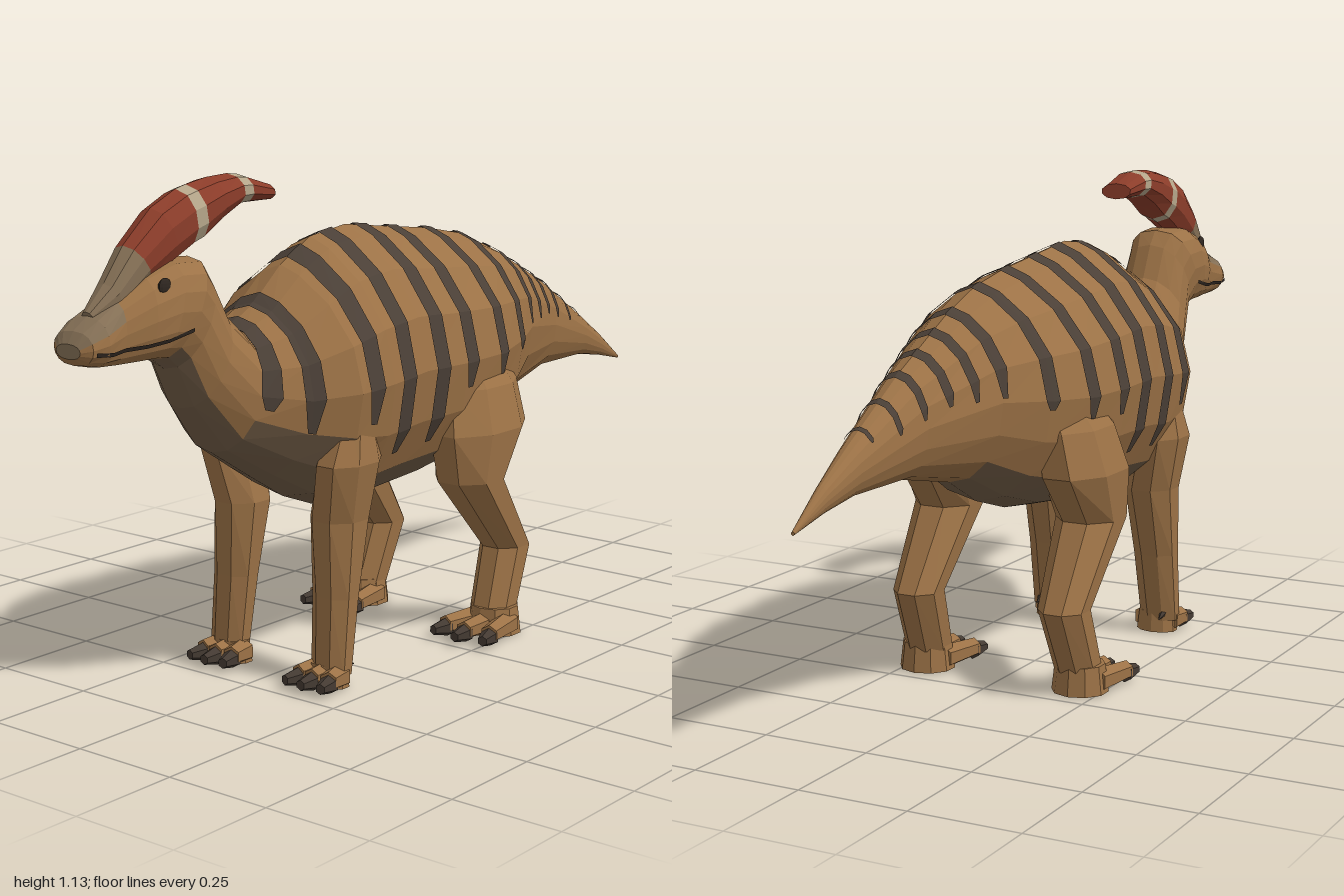
import * as THREE from 'three';

const N = 16; // sides of the body cross-section

const mat = (name, color, side = THREE.FrontSide) => {
  const m = new THREE.MeshStandardMaterial({ color, flatShading: true, side });
  m.name = name;
  return m;
};

// Skins rows of points; pick(i, j) chooses the material slot of each quad
function skin(rows, closed, pick = () => 0) {
  const buckets = [];
  const tri = (slot, ...pts) => (buckets[slot] ??= []).push(...pts.flatMap((p) => [p.x, p.y, p.z]));
  const n = rows[0].length;
  for (let i = 0; i < rows.length - 1; i++) {
    for (let j = 0; j < (closed ? n : n - 1); j++) {
      const k = (j + 1) % n, s = pick(i, j);
      tri(s, rows[i][j], rows[i + 1][j], rows[i + 1][k]);
      tri(s, rows[i][j], rows[i + 1][k], rows[i][k]);
    }
  }
  if (closed) {
    const cap = (row, slot, flip) => {
      const c = row.reduce((a, p) => a.add(p), new THREE.Vector3()).divideScalar(n);
      row.forEach((p, j) => {
        const q = row[(j + 1) % n];
        flip ? tri(slot, c, q, p) : tri(slot, c, p, q);
      });
    };
    cap(rows[0], pick(0, 0), false);
    cap(rows[rows.length - 1], pick(rows.length - 2, 0), true);
  }
  const geo = new THREE.BufferGeometry();
  geo.setAttribute('position', new THREE.Float32BufferAttribute(buckets.flat(), 3));
  let start = 0;
  buckets.forEach((b, slot) => {
    geo.addGroup(start, b.length / 3, slot);
    start += b.length / 3;
  });
  geo.computeVertexNormals();
  return geo;
}

// Cross-sections: top z, top y, bottom z, bottom y, half width,
// roundness (below 1 is boxy, above 1 pinches the upper half)
const BODY = [
  [-1, 0.52, -1, 0.512, 0.004, 1],
  [-0.9, 0.592, -0.9, 0.535, 0.018, 1],
  [-0.8, 0.655, -0.8, 0.55, 0.034, 1],
  [-0.6, 0.775, -0.6, 0.548, 0.07, 1.1],
  [-0.4, 0.875, -0.4, 0.505, 0.135, 1.3],
  [-0.28, 0.92, -0.28, 0.44, 0.19, 1.45],
  [-0.15, 0.945, -0.15, 0.4, 0.23, 1.55],
  [0, 0.963, 0, 0.38, 0.237, 1.55],
  [0.15, 0.982, 0.15, 0.37, 0.238, 1.55],
  [0.27, 0.967, 0.27, 0.362, 0.238, 1.55],
  [0.37, 0.915, 0.37, 0.4, 0.23, 1.5],
  [0.46, 0.84, 0.47, 0.46, 0.17, 1.25],
  [0.54, 0.8, 0.6, 0.54, 0.12, 1],
  [0.59, 0.85, 0.69, 0.65, 0.095, 1],
  [0.63, 0.93, 0.735, 0.74, 0.085, 0.9],
  [0.66, 0.965, 0.77, 0.765, 0.09, 0.75],
  [0.74, 0.97, 0.8, 0.77, 0.092, 0.65],
  [0.82, 0.945, 0.84, 0.77, 0.08, 0.65],
  [0.89, 0.905, 0.9, 0.77, 0.058, 0.7],
  [0.95, 0.875, 0.95, 0.775, 0.067, 0.7],
  [0.985, 0.852, 0.985, 0.783, 0.056, 0.75],
  [1, 0.828, 1, 0.798, 0.034, 0.8],
];

const CREST = [
  [0.43, 1.098, 0.425, 1.06, 0.04, 0.9],
  [0.508, 1.122, 0.497, 1.06, 0.047, 0.9],
  [0.538, 1.125, 0.526, 1.058, 0.049, 0.9],
  [0.6, 1.122, 0.585, 1.03, 0.053, 0.9],
  [0.662, 1.112, 0.64, 0.995, 0.054, 0.9],
  [0.692, 1.105, 0.67, 0.985, 0.053, 0.9],
  [0.765, 1.073, 0.72, 0.96, 0.05, 0.9],
  [0.845, 1.005, 0.79, 0.93, 0.043, 0.9],
  [0.9, 0.935, 0.87, 0.88, 0.034, 0.9],
  [0.95, 0.885, 0.94, 0.86, 0.016, 0.9],
];

// Point on a cross-section; s counts sides from the top, grow lifts it outward
function point(c, s, n = N, grow = 0) {
  const corner = (j) => {
    const t = (j / n) * Math.PI * 2, cos = Math.cos(t), sin = Math.sin(t);
    const h = 0.5 * cos, power = cos > 0 ? c[5] : Math.min(c[5], 1);
    const x = Math.sign(sin) * (Math.abs(sin) ** power * c[4] + grow * Math.abs(sin));
    return new THREE.Vector3(x, (c[1] + c[3]) / 2 + h * (c[1] - c[3]) + grow * cos, (c[0] + c[2]) / 2 + h * (c[0] - c[2]));
  };
  const f = Math.floor(s);
  return corner(f).lerp(corner(f + 1), s - f);
}
const ring = (c, n) => Array.from({ length: n }, (_, j) => point(c, j, n));

// Body cross-section at any z along the back
function sectionAt(z) {
  let i = 0;
  while (i < BODY.length - 2 && BODY[i + 1][0] < z) i++;
  const a = BODY[i], b = BODY[i + 1], t = (z - a[0]) / (b[0] - a[0]);
  return a.map((v, k) => v + (b[k] - v) * t);
}
function sideAtHeight(c, y) {
  let s = 0;
  while (s < N / 2 && point(c, s).y > y) s += 0.02;
  return s;
}
// Point on the flank at a given z and y
function flank(z, y, side, grow) {
  let zq = z, p;
  for (let k = 0; k < 8; k++) {
    const c = sectionAt(zq);
    p = point(c, sideAtHeight(c, y), N, grow);
    zq += z - p.z;
  }
  p.x *= side;
  return p;
}

export function createModel() {
  const model = new THREE.Group();
  model.name = 'crestedDinosaur';
  const hide = mat('hide brown', 0x9c7246);
  const belly = mat('belly brown', 0x715c46);
  const snout = mat('snout grey brown', 0x857056);
  const stripe = mat('stripe dark brown', 0x4b4037, THREE.DoubleSide);
  const red = mat('crest red', 0x8c3d2a);
  const cream = mat('band cream', 0xb5a68a);
  const claw = mat('claw dark', 0x443a32);
  const dark = mat('eye and mouth', 0x2e2620, THREE.DoubleSide);

  const add = (name, geo, material, parent = model) => {
    const m = new THREE.Mesh(geo, material);
    m.name = name;
    parent.add(m);
    return m;
  };

  // Tail, trunk, neck and head in one skin
  const bodyPick = (i, j) => {
    const up = Math.min(j, N - 1 - j);
    if (i >= 18 && up < 3) return 2;
    const reach = i === 10 || i === 11 ? 5 : 6;
    return i >= 4 && i <= 14 && up >= reach ? 1 : 0;
  };
  add('body', skin(BODY.map((c) => ring(c, N)), true, bodyPick), [hide, belly, snout]);

  // Swept-back crest with two pale bands
  const crestPick = (i) => (i === 1 || i === 4 ? 1 : i >= 7 ? 2 : 0);
  add('crest', skin(CREST.map((c) => ring(c, 10)), true, crestPick), [red, cream, snout]);

  // Back stripes: z, lowest y, width
  const stripes = [
    [0.525, 0.64, 0.034], [0.455, 0.58, 0.036], [0.326, 0.585, 0.046], [0.22, 0.5, 0.046],
    [0.097, 0.505, 0.05], [-0.016, 0.615, 0.046], [-0.15, 0.625, 0.042], [-0.278, 0.66, 0.038],
    [-0.396, 0.7, 0.032], [-0.47, 0.7, 0.026], [-0.54, 0.7, 0.024], [-0.61, 0.68, 0.02],
    [-0.685, 0.66, 0.015], [-0.76, 0.655, 0.01],
  ];
  const stripeGroup = new THREE.Group();
  stripeGroup.name = 'backStripes';
  model.add(stripeGroup);
  for (const [z, y, w] of stripes) {
    const z0 = z - w / 2, z1 = z + w / 2;
    const zs = [z0, ...BODY.map((c) => c[0]).filter((v) => v > z0 && v < z1), z1];
    const end = sideAtHeight(sectionAt(z), y);
    const half = [];
    for (let s = 1; s < end; s++) half.push(s);
    half.push(end);
    const sides = [...half.map((s) => -s).reverse(), 0, ...half];
    const rows = zs.map((v) => sides.map((s) => {
      const tip = Math.abs(s) === end;
      return point(sectionAt(tip ? z + (v - z) * 0.4 : v), s, N, 0.004);
    }));
    add('stripe', skin(rows, false), stripe, stripeGroup);
  }

  // Legs: y, x, z, half width in x, half depth in z
  const HIND = [
    [0.7, 0.12, -0.13, 0.05, 0.08],
    [0.6, 0.165, -0.12, 0.075, 0.13],
    [0.5, 0.185, -0.11, 0.085, 0.145],
    [0.385, 0.185, -0.077, 0.075, 0.085],
    [0.2, 0.188, -0.217, 0.056, 0.06],
    [0.05, 0.195, -0.16, 0.052, 0.053],
  ];
  const FORE = [
    [0.62, 0.175, 0.33, 0.03, 0.04],
    [0.5, 0.17, 0.345, 0.058, 0.085],
    [0.37, 0.142, 0.345, 0.062, 0.066],
    [0.2, 0.146, 0.365, 0.053, 0.042],
    [0.03, 0.15, 0.385, 0.048, 0.032],
  ];
  const legRing = (side) => ([y, x, z, hx, hz]) => Array.from({ length: 8 }, (_, j) => {
    const t = ((j + 0.5) / 8) * Math.PI * 2;
    return new THREE.Vector3(side * x + hx * 1.05 * Math.sin(t), y, z + hz * 1.05 * Math.cos(t));
  });

  // Foot: oval pad, three splayed toes and blunt claws
  function foot(parent, x, z, padX, padZ, height, toe) {
    const pad = add('footPad', new THREE.CylinderGeometry(0.88, 1, height, 10), hide, parent);
    pad.scale.set(padX, 1, padZ);
    pad.position.set(x, height / 2, z);
    for (const k of [-1, 0, 1]) {
      const g = new THREE.Group();
      g.name = 'toe';
      g.position.set(x + k * padX * 0.62, 0, z);
      g.rotation.y = k * 0.2;
      parent.add(g);
      const len = toe * (k ? 0.92 : 1);
      const bone = add('toeBone', new THREE.CylinderGeometry(0.022, 0.029, len, 6).rotateX(Math.PI / 2), hide, g);
      bone.position.set(0, 0.027, len / 2);
      const nail = add('claw', new THREE.CylinderGeometry(0.012, 0.023, 0.045, 6).rotateX(Math.PI / 2), claw, g);
      nail.position.set(0, 0.021, len + 0.015);
    }
  }

  for (const side of [1, -1]) {
    const tag = side > 0 ? 'left' : 'right';
    const hind = new THREE.Group(), fore = new THREE.Group();
    hind.name = tag + 'HindLeg';
    fore.name = tag + 'FrontLeg';
    model.add(hind, fore);
    add('hindLimb', skin(HIND.map(legRing(side)), true), hide, hind);
    add('frontLimb', skin(FORE.map(legRing(side)), true), hide, fore);
    foot(hind, side * 0.2, -0.16, 0.066, 0.064, 0.065, 0.122);
    foot(fore, side * 0.142, 0.385, 0.052, 0.038, 0.05, 0.058);
    // Small spur behind the front foot
    const spur = add('spur', new THREE.ConeGeometry(0.012, 0.04, 5).rotateX(-2), claw, fore);
    spur.position.set(side * 0.17, 0.045, 0.348);

    // Eye and mouth line
    const eye = add(tag + 'Eye', new THREE.SphereGeometry(0.018, 10, 8), dark);
    eye.scale.x = 0.4;
    eye.position.copy(flank(0.797, 0.925, side, -0.002));
    const line = [[0.98, 0.81], [0.94, 0.807], [0.9, 0.81], [0.85, 0.812], [0.8, 0.818], [0.735, 0.832]];
    const rows = [0.004, -0.004].map((d) => line.map(([z, y]) => flank(z, y + d, side, 0.004)));
    add(tag + 'Mouth', skin(rows, false), dark);
  }
  return model;
}
